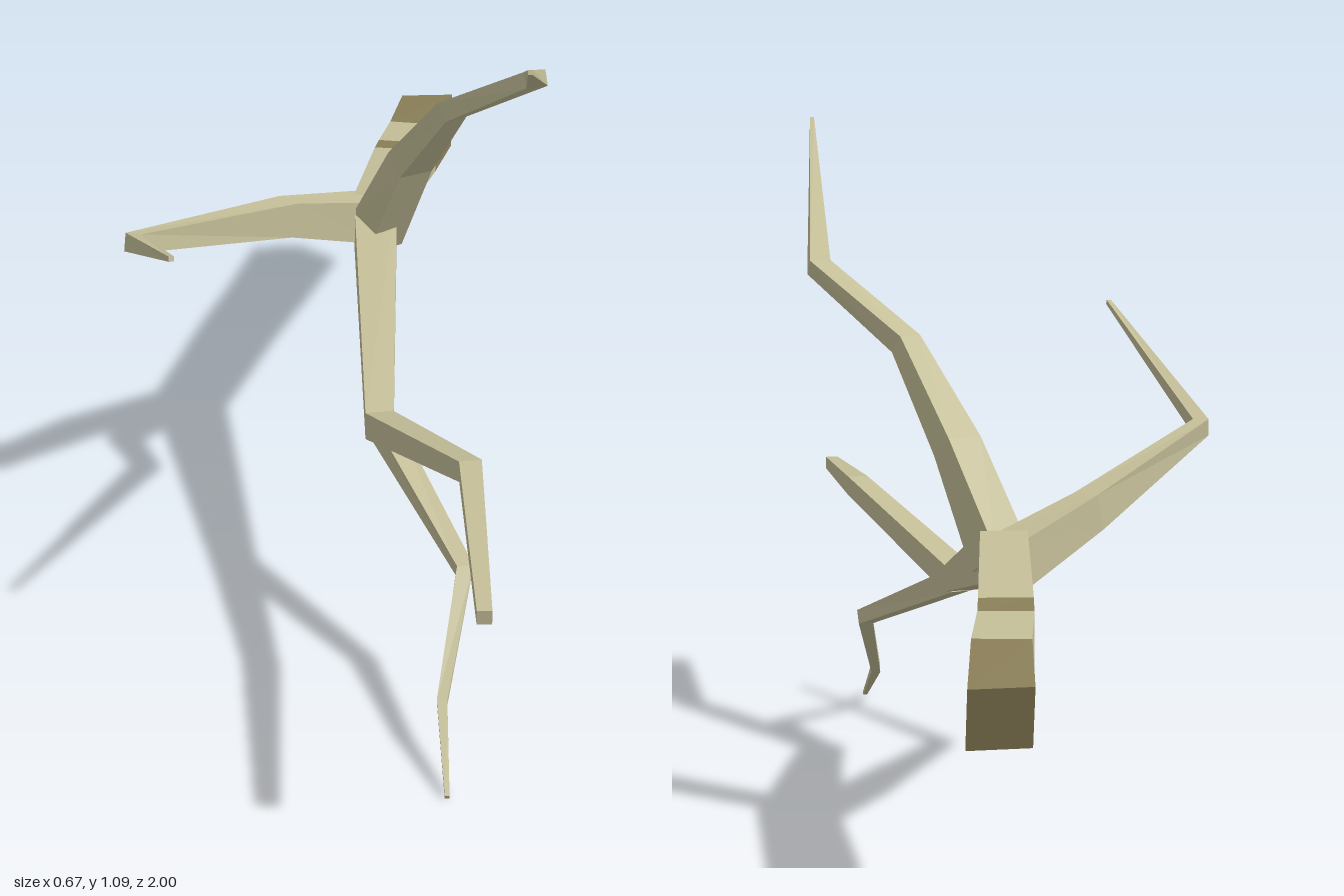
import * as THREE from 'three';

const UP = new THREE.Vector3(0, 1, 0);
const lightBark = new THREE.MeshStandardMaterial({ color: 0xc4be98, flatShading: true });
const darkBark = new THREE.MeshStandardMaterial({ color: 0x8a7f58, flatShading: true });

// Square rings along a path of [x, y, z, width, height], mitred at each kink.
function makeRings(path) {
  const centres = path.map((p) => new THREE.Vector3(p[0], p[1], p[2]));
  const dirs = centres.slice(1).map((c, i) => c.clone().sub(centres[i]).normalize());
  return path.map(([, , , w, h], i) => {
    const before = dirs[Math.max(i - 1, 0)];
    const after = dirs[Math.min(i, dirs.length - 1)];
    const tangent = before.clone().add(after).normalize();
    const side = new THREE.Vector3().crossVectors(UP, tangent).normalize();
    const top = new THREE.Vector3().crossVectors(tangent, side);
    return [[-1, -1], [1, -1], [1, 1], [-1, 1]].map(([a, b]) =>
      centres[i].clone().addScaledVector(side, a * w / 2).addScaledVector(top, b * h / 2));
  });
}

// Skin a run of rings, with optional end caps.
function skin(name, rings, material, capStart, capEnd) {
  const points = [];
  const quad = (a, b, c, d) => points.push(a, b, c, a, c, d);
  for (let i = 0; i < rings.length - 1; i++) {
    for (let k = 0; k < 4; k++) {
      const n = (k + 1) % 4;
      quad(rings[i][k], rings[i][n], rings[i + 1][n], rings[i + 1][k]);
    }
  }
  const first = rings[0], last = rings[rings.length - 1];
  if (capStart) quad(first[3], first[2], first[1], first[0]);
  if (capEnd) quad(last[0], last[1], last[2], last[3]);
  const geometry = new THREE.BufferGeometry().setFromPoints(points);
  geometry.computeVertexNormals();
  const mesh = new THREE.Mesh(geometry, material);
  mesh.name = name;
  return mesh;
}

export function createModel() {
  const group = new THREE.Group();
  group.name = 'branch';

  // Main stem, from the thick cut end to the tip of the upper fork
  const stem = makeRings([
    [0.234, 0.34, -0.985, 0.097, 0.093],
    [0.193, 0.37, -0.79, 0.087, 0.09],
    [0.162, 0.388, -0.665, 0.083, 0.087],
    [0.151, 0.398, -0.61, 0.082, 0.086],
    [0.093, 0.447, -0.305, 0.074, 0.083],
    [0.067, 0.322, 0.23, 0.046, 0.046],
    [0.18, 0.431, 0.595, 0.035, 0.033],
    [0.165, 0.415, 1.0, 0.022, 0.022],
  ]);
  // Square the cut end to the z axis
  stem[0].forEach((p, k) => { p.z = k < 2 ? -0.97 : -1; });
  group.add(
    skin('cutEnd', stem.slice(0, 2), darkBark, true, false),
    skin('lightBand', stem.slice(1, 3), lightBark, false, false),
    skin('darkBand', stem.slice(2, 4), darkBark, false, false),
    skin('stem', stem.slice(3), lightBark, false, true),
  );

  // Side twigs
  const twigs = {
    lowerFork: [
      [0.067, 0.322, 0.21, 0.04, 0.04],
      [0.182, 0.209, 0.505, 0.026, 0.026],
      [0.135, 0.08, 0.68, 0.016, 0.016],
      [0.132, 0.004, 0.825, 0.007, 0.007],
    ],
    rightTwig: [
      [0.085, 0.442, -0.315, 0.07, 0.075],
      [-0.065, 0.498, -0.2, 0.045, 0.06],
      [-0.322, 0.588, 0.09, 0.026, 0.03],
      [-0.262, 0.758, 0.522, 0.008, 0.008],
    ],
    leftTwig: [
      [0.09, 0.435, -0.265, 0.07, 0.07],
      [0.142, 0.605, -0.175, 0.062, 0.05],
      [0.2, 0.754, -0.04, 0.042, 0.034],
      [0.318, 0.866, 0.11, 0.036, 0.026],
      [0.253, 1.083, 0.62, 0.007, 0.007],
    ],
  };
  for (const [name, path] of Object.entries(twigs)) {
    group.add(skin(name, makeRings(path), lightBark, true, true));
  }
  return group;
}
